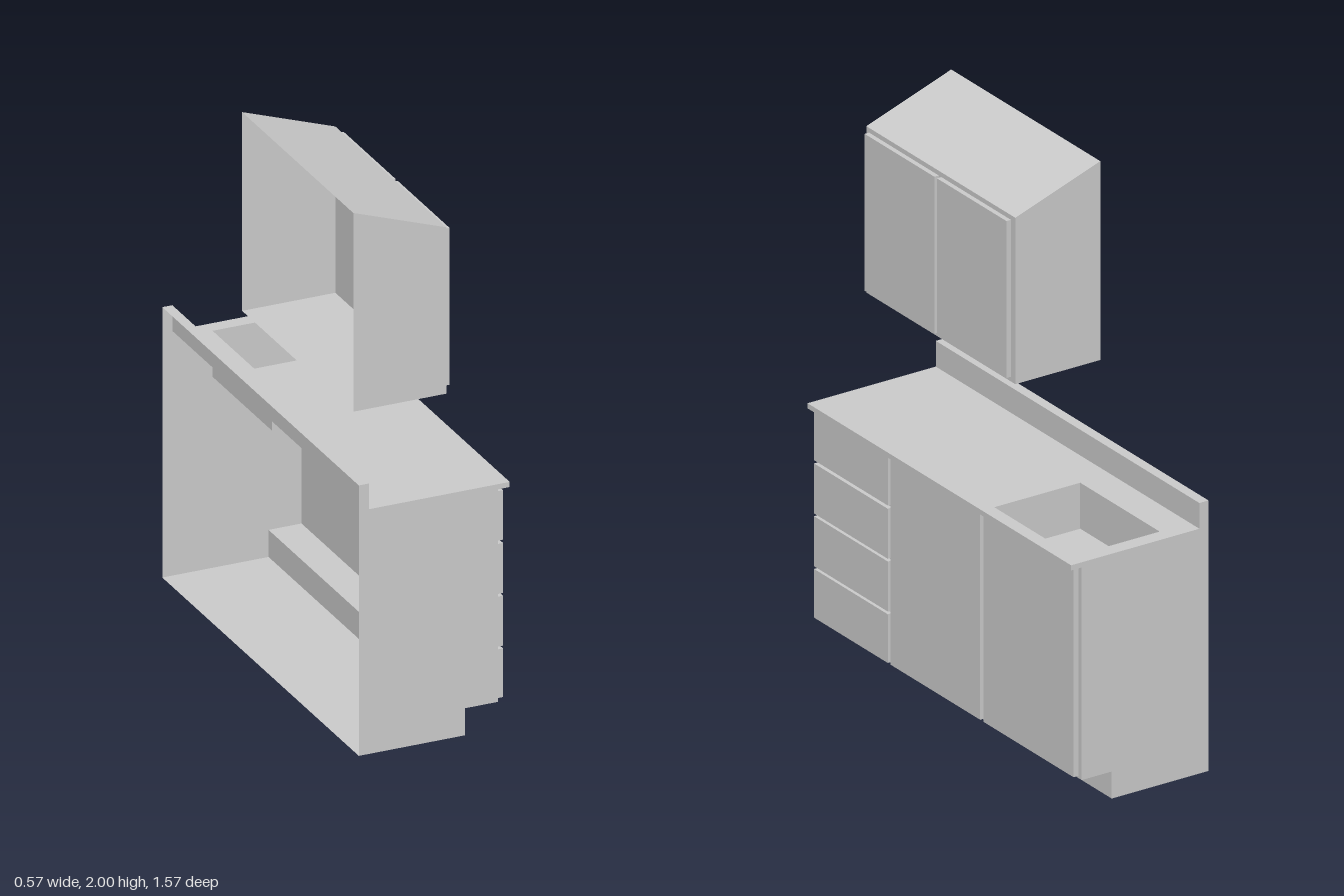
import * as THREE from 'three';

const material = new THREE.MeshStandardMaterial({ color: 0xcccccc, side: THREE.DoubleSide, flatShading: true });

function addMesh(parent, geometry, name) {
  const mesh = new THREE.Mesh(geometry, material);
  mesh.name = name;
  parent.add(mesh);
  return mesh;
}

// Thin open shell: a counter-clockwise x-y profile swept from z0 to z1 with end panels.
// The closing edge (last point to first) stays open; segment "skip" is left out.
function addShell(parent, name, profile, z0, z1, skip = -1) {
  const shell = new THREE.Group();
  shell.name = name;
  const positions = [];
  for (let i = 0; i < profile.length - 1; i++) {
    if (i === skip) continue;
    const [ax, ay] = profile[i], [bx, by] = profile[i + 1];
    positions.push(ax, ay, z1, ax, ay, z0, bx, by, z0);
    positions.push(ax, ay, z1, bx, by, z0, bx, by, z1);
  }
  const sweep = new THREE.BufferGeometry();
  sweep.setAttribute('position', new THREE.Float32BufferAttribute(positions, 3));
  sweep.computeVertexNormals();
  addMesh(shell, sweep, name + 'Panels');

  const outline = new THREE.Shape(profile.map(([x, y]) => new THREE.Vector2(x, y)));
  addMesh(shell, new THREE.ShapeGeometry(outline).translate(0, 0, z1), name + 'LeftEnd');
  // Mirror the end panel so that it faces -z
  const back = new THREE.ShapeGeometry(outline);
  back.index.array.reverse();
  back.attributes.normal.array.forEach((v, i, a) => { a[i] = -v; });
  addMesh(shell, back.translate(0, 0, z0), name + 'RightEnd');
  parent.add(shell);
}

// Flat door or drawer panel facing +x
function addFront(parent, name, x0, x1, y0, y1, z0, z1) {
  const panel = addMesh(parent, new THREE.BoxGeometry(x1 - x0, y1 - y0, z1 - z0), name);
  panel.position.set((x0 + x1) / 2, (y0 + y1) / 2, (z0 + z1) / 2);
}

const rectangle = (Type, x0, y0, x1, y1) => new Type([
  new THREE.Vector2(x0, y0), new THREE.Vector2(x1, y0),
  new THREE.Vector2(x1, y1), new THREE.Vector2(x0, y1),
]);

export function createModel() {
  const model = new THREE.Group();
  model.name = 'kitchenUnit';

  // Base cabinet with toe kick, worktop overhang and splashback, open at the back
  const base = new THREE.Group();
  base.name = 'baseUnit';
  model.add(base);
  const half = 0.786, top = 0.905;
  addShell(base, 'baseCabinet', [
    [-0.275, 0], [0.118, 0], [0.118, 0.1], [0.24, 0.1], [0.24, 0.886], [0.283, 0.886],
    [0.283, top], [-0.238, top], [-0.238, 1], [-0.275, 1],
  ], -half, half, 6);

  // Worktop surface with the sink opening (shape y is -z)
  const sink = { x0: -0.115, x1: 0.234, z0: -0.73, z1: -0.256 };
  const worktop = rectangle(THREE.Shape, -0.238, -half, 0.283, half);
  worktop.holes.push(rectangle(THREE.Path, sink.x0, -sink.z1, sink.x1, -sink.z0));
  addMesh(base, new THREE.ShapeGeometry(worktop).rotateX(-Math.PI / 2).translate(0, top, 0), 'worktop');

  // Sink bowl, open at the top
  addShell(base, 'sinkBowl', [
    [sink.x0, top], [sink.x0, top - 0.17], [sink.x1, top - 0.17], [sink.x1, top],
  ], sink.z0, sink.z1);

  // Four drawers and two doors
  for (const [y0, y1] of [[0.11, 0.29], [0.3, 0.485], [0.495, 0.68], [0.692, 0.875]])
    addFront(base, 'drawer', 0.243, 0.262, y0, y1, 0.338, 0.778);
  for (const [z0, z1] of [[-0.213, 0.322], [-0.77, -0.232]])
    addFront(base, 'baseDoor', 0.243, 0.262, 0.11, 0.88, z0, z1);

  // Wall cabinet with sloped roof, open at the back
  const wall = new THREE.Group();
  wall.name = 'wallUnit';
  model.add(wall);
  addShell(wall, 'wallCabinet',
    [[-0.285, 1.265], [0.06, 1.265], [0.06, 1.88], [-0.285, 2]], -0.126, 0.763);
  for (const [z0, z1] of [[0.326, 0.742], [-0.104, 0.311]])
    addFront(wall, 'wallDoor', 0.063, 0.081, 1.285, 1.865, z0, z1);

  return model;
}
